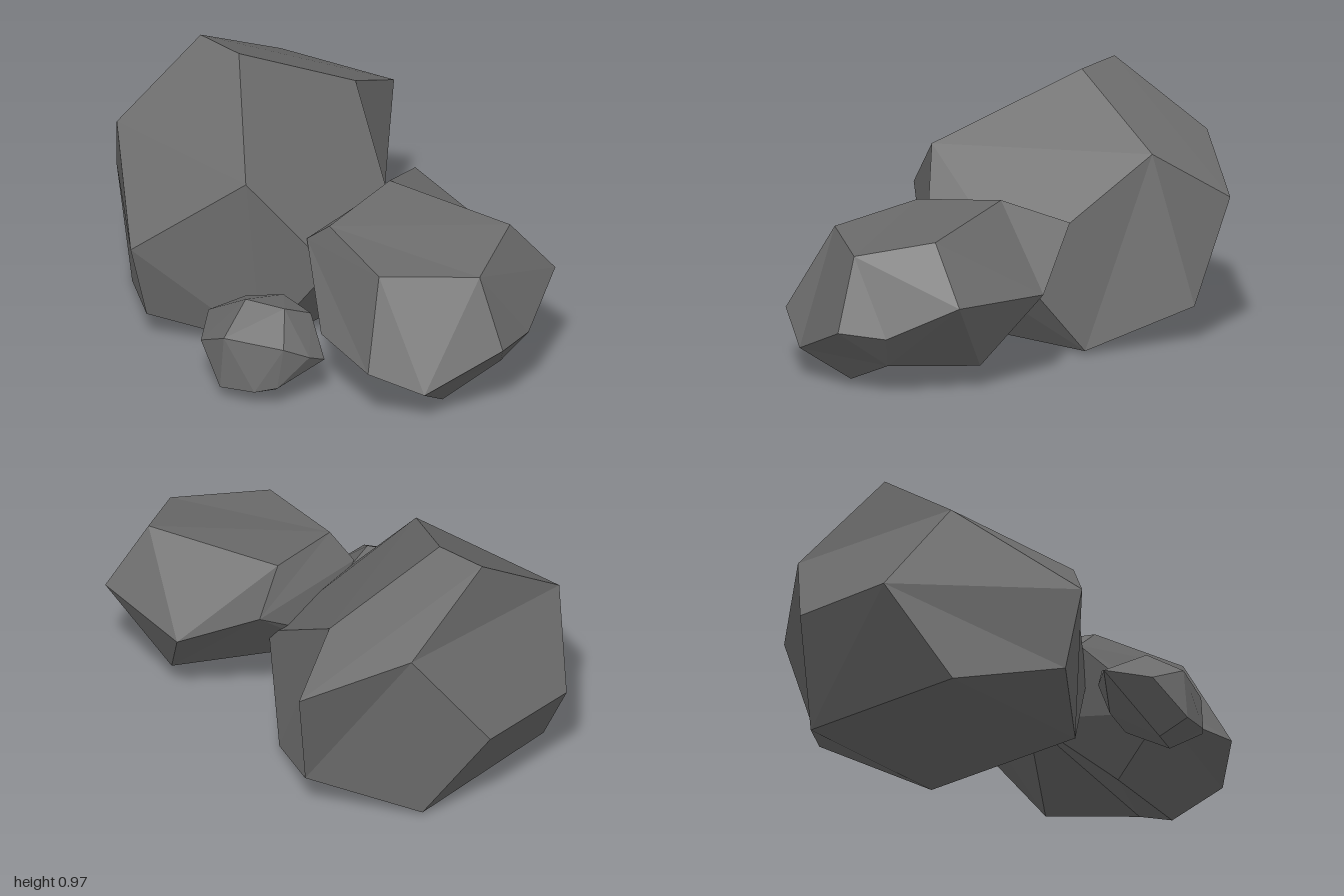
import * as THREE from 'three';
import { ConvexGeometry } from 'three/addons/geometries/ConvexGeometry.js';

const stone = new THREE.MeshStandardMaterial({ color: 0x6b6b6b });
stone.name = 'stone grey';

// The twelve five-sided faces of a boulder, as corner numbers; each is a fan from its first corner
const FACES = [
  [3, 11, 7, 15, 13], [10, 2, 13, 15, 6],   // top front, top back
  [7, 19, 17, 6, 15], [2, 16, 18, 3, 13],   // upper sides
  [5, 19, 7, 11, 9], [18, 1, 9, 11, 3],     // front
  [6, 17, 4, 8, 10], [2, 10, 8, 0, 16],     // back
  [4, 17, 19, 5, 14], [0, 12, 1, 18, 16],   // lower sides
  [1, 12, 14, 5, 9], [4, 14, 12, 0, 8],     // underside
];

function named(name, geometry) {
  const mesh = new THREE.Mesh(geometry, stone);
  mesh.name = name;
  return mesh;
}

// An uneven twelve-sided boulder that may have hollow faces
function boulder(name, corners) {
  const positions = [];
  for (const face of FACES) {
    for (let i = 1; i < 4; i++) {
      for (const k of [face[0], face[i], face[i + 1]]) positions.push(...corners[k]);
    }
  }
  const geometry = new THREE.BufferGeometry();
  geometry.setAttribute('position', new THREE.Float32BufferAttribute(positions, 3));
  geometry.computeVertexNormals();
  return named(name, geometry);
}

// A rounder stone: the hull of its corners
function pebble(name, corners) {
  return named(name, new ConvexGeometry(corners.map((c) => new THREE.Vector3(...c))));
}

export function createModel() {
  const group = new THREE.Group();
  group.name = 'rockCluster';

  // Tall boulder with a flat base
  group.add(boulder('largeRock', [
    [-0.76, 0.02, -0.37], [-0.76, 0.02, 0.355], [-0.76, 0.75, -0.435], [-0.81, 0.71, 0.39],
    [-0.04, 0.02, -0.375], [-0.035, 0.02, 0.355], [-0.365, 0.75, -0.46], [-0.085, 0.71, 0.39],
    [-0.395, 0.16, -0.64], [-0.4, 0.11, 0.62], [-0.465, 0.607, -0.76], [-0.4, 0.42, 0.705],
    [-0.62, 0.02, 0], [-0.75, 0.97, 0], [-0.18, 0.02, 0], [-0.535, 0.97, 0],
    [-0.985, 0.385, -0.23], [0.17, 0.37, -0.19], [-1, 0.385, 0.21], [0.2, 0.385, 0.21],
  ]));

  // Broad, low boulder
  group.add(boulder('mediumRock', [
    [0.07, 0.24, 0.02], [0.385, 0.255, 0.435], [0.06, 0.565, -0.375], [0.22, 0.59, 0.235],
    [0.85, 0.13, -0.08], [0.86, 0.13, 0.335], [0.82, 0.41, -0.4], [0.88, 0.555, 0.06],
    [0.56, 0.1, -0.31], [0.72, 0.23, 0.503], [0.385, 0.375, -0.485], [0.615, 0.56, 0.345],
    [0.41, 0.05, 0.19], [0.175, 0.64, -0.13], [0.77, 0.015, 0.155], [0.745, 0.63, -0.23],
    [0.04, 0.42, -0.15], [0.945, 0.27, -0.14], [0.11, 0.5, 0.25], [1, 0.275, 0.05],
  ]));

  // Small stone in front
  group.add(pebble('smallRock', [
    [0.12, 0.36, 0.585], [0.275, 0.355, 0.525], [0.28, 0.29, 0.39],  // top
    [0.095, 0.29, 0.36], [-0.005, 0.285, 0.465],
    [-0.11, 0.22, 0.565], [0.005, 0.185, 0.715], [0.16, 0.26, 0.74], // middle ring
    [0.385, 0.255, 0.635], [0.435, 0.21, 0.545], [0.43, 0.17, 0.46],
    [0.16, 0.055, 0.76], [0.305, 0.07, 0.715], [0.37, 0.09, 0.655],  // underside
    [0.275, 0.02, 0.57], [0.14, 0.005, 0.635], [0.2, 0.11, 0.41], [0.06, 0.13, 0.45],
  ]));

  return group;
}
